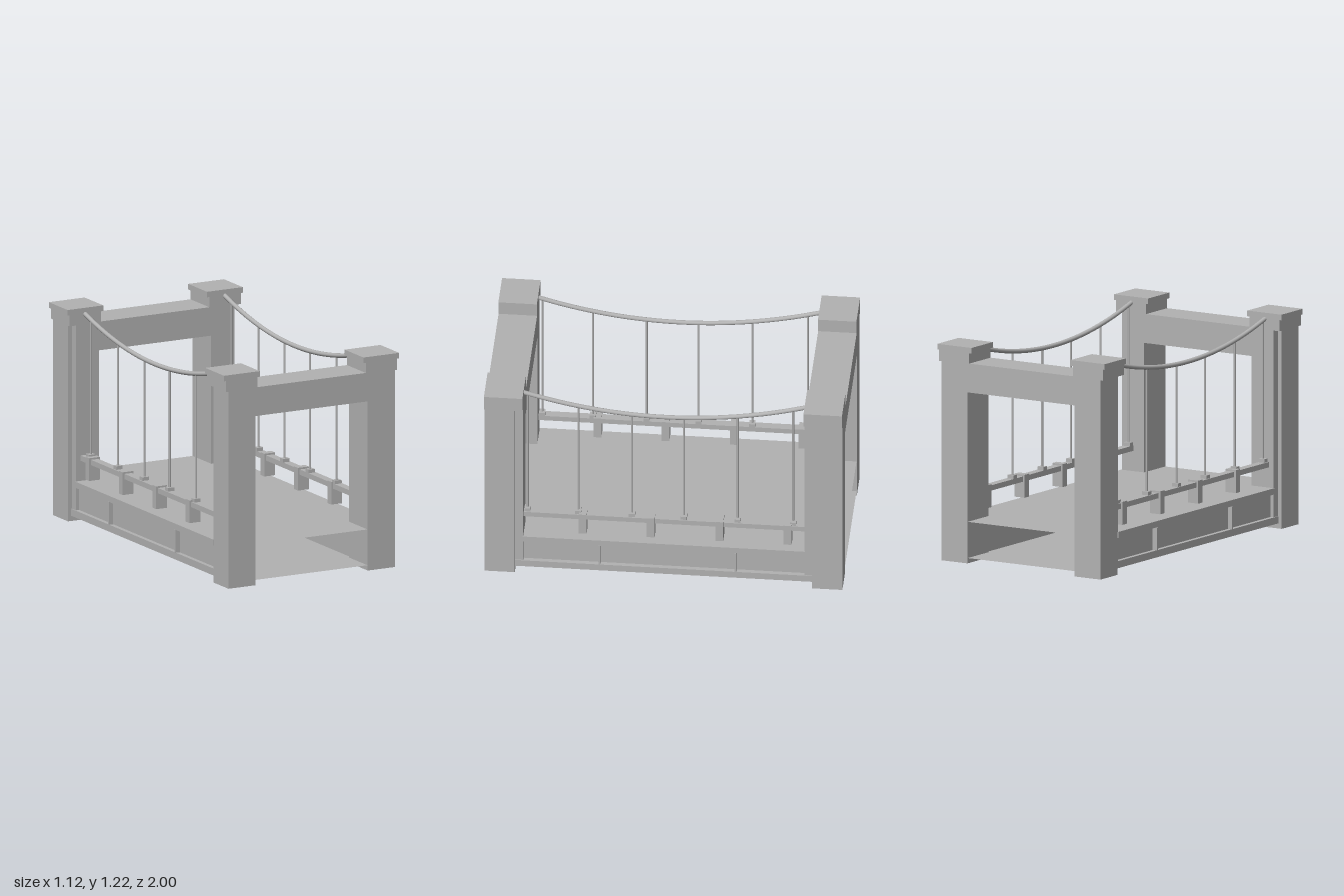
import * as THREE from 'three';

export function createModel() {
  const model = new THREE.Group();
  model.name = 'suspensionBridge';
  const grey = new THREE.MeshStandardMaterial({ color: 0xb2b2b2, side: THREE.DoubleSide });
  grey.name = 'stone grey';

  const add = (parent, name, geometry) => {
    const mesh = new THREE.Mesh(geometry, grey);
    mesh.name = name;
    parent.add(mesh);
    return mesh;
  };
  // Box given by its limits on each axis
  const box = (parent, name, x0, x1, y0, y1, z0, z1) =>
    add(parent, name, new THREE.BoxGeometry(x1 - x0, y1 - y0, z1 - z0))
      .position.set((x0 + x1) / 2, (y0 + y1) / 2, (z0 + z1) / 2);
  // Limits on one side of the bridge, mirrored for s = -1
  const sideBox = (parent, name, s, x0, x1, ...rest) =>
    box(parent, name, Math.min(s * x0, s * x1), Math.max(s * x0, s * x1), ...rest);

  // Portal towers at both ends
  for (const e of [1, -1]) {
    const tower = new THREE.Group();
    tower.name = e > 0 ? 'frontTower' : 'backTower';
    model.add(tower);
    const range = (a, b) => (e > 0 ? [a, b] : [-b, -a]);
    for (const s of [1, -1]) {
      sideBox(tower, 'pillar', s, 0.357, 0.53, 0, 1.13, ...range(0.83, 1));
      sideBox(tower, 'pillarInnerStep', s, 0.357, 0.505, 0.03, 1.13, ...range(0.785, 0.83));
      sideBox(tower, 'capital', s, 0.345, 0.545, 1.127, 1.19, ...range(0.785, 1));
      sideBox(tower, 'capSlab', s, 0.33, 0.558, 1.19, 1.222, ...range(0.785, 1));
    }
    box(tower, 'crossBeam', -0.357, 0.357, 0.968, 1.132, ...range(0.785, 1));
  }

  // Deck: roadway and underside sheets, open at the ends
  for (const [name, y, turn] of [['roadway', 0.235, -1], ['underside', 0.03, 1]]) {
    const sheet = add(model, name, new THREE.PlaneGeometry(0.74, 1.996));
    sheet.rotation.x = turn * Math.PI / 2;
    sheet.position.y = y;
  }

  const sag = z => 1.067 + 0.118 * (z / 0.785) ** 2;
  for (const s of [1, -1]) {
    const side = new THREE.Group();
    side.name = s > 0 ? 'leftSide' : 'rightSide';
    model.add(side);

    // Edge girder with recessed panels
    sideBox(side, 'walkway', s, 0.37, 0.51, 0.2, 0.235, -0.79, 0.79);
    sideBox(side, 'girderPanel', s, 0.37, 0.485, 0.07, 0.2, -0.83, 0.83);
    sideBox(side, 'girderFlange', s, 0.37, 0.51, 0.03, 0.07, -0.83, 0.83);
    for (const z of [0.36, -0.4])
      sideBox(side, 'girderRib', s, 0.48, 0.513, 0.07, 0.2, z - 0.005, z + 0.005);

    // Railing and its posts
    sideBox(side, 'rail', s, 0.428, 0.475, 0.35, 0.38, -0.785, 0.785);
    for (const z of [0.455, 0.075, -0.308, -0.69])
      sideBox(side, 'railPost', s, 0.417, 0.486, 0.26, 0.39, z - 0.022, z + 0.022);

    // Main cable
    const path = new THREE.CatmullRomCurve3(Array.from({ length: 13 }, (_, i) => {
      const z = 0.79 * (i / 6 - 1);
      return new THREE.Vector3(s * 0.445, sag(z), z);
    }));
    add(side, 'mainCable', new THREE.TubeGeometry(path, 32, 0.013, 10));

    // Hangers standing on small blocks
    for (const z of [0.765, 0.482, 0.182, -0.108, -0.408, -0.718]) {
      sideBox(side, 'hangerBlock', s, 0.428, 0.468, 0.375, 0.4, z - 0.017, z + 0.017);
      const height = sag(z) - 0.39;
      add(side, 'hanger', new THREE.CylinderGeometry(0.006, 0.006, height, 8))
        .position.set(s * 0.447, 0.39 + height / 2, z);
    }
  }
  return model;
}
